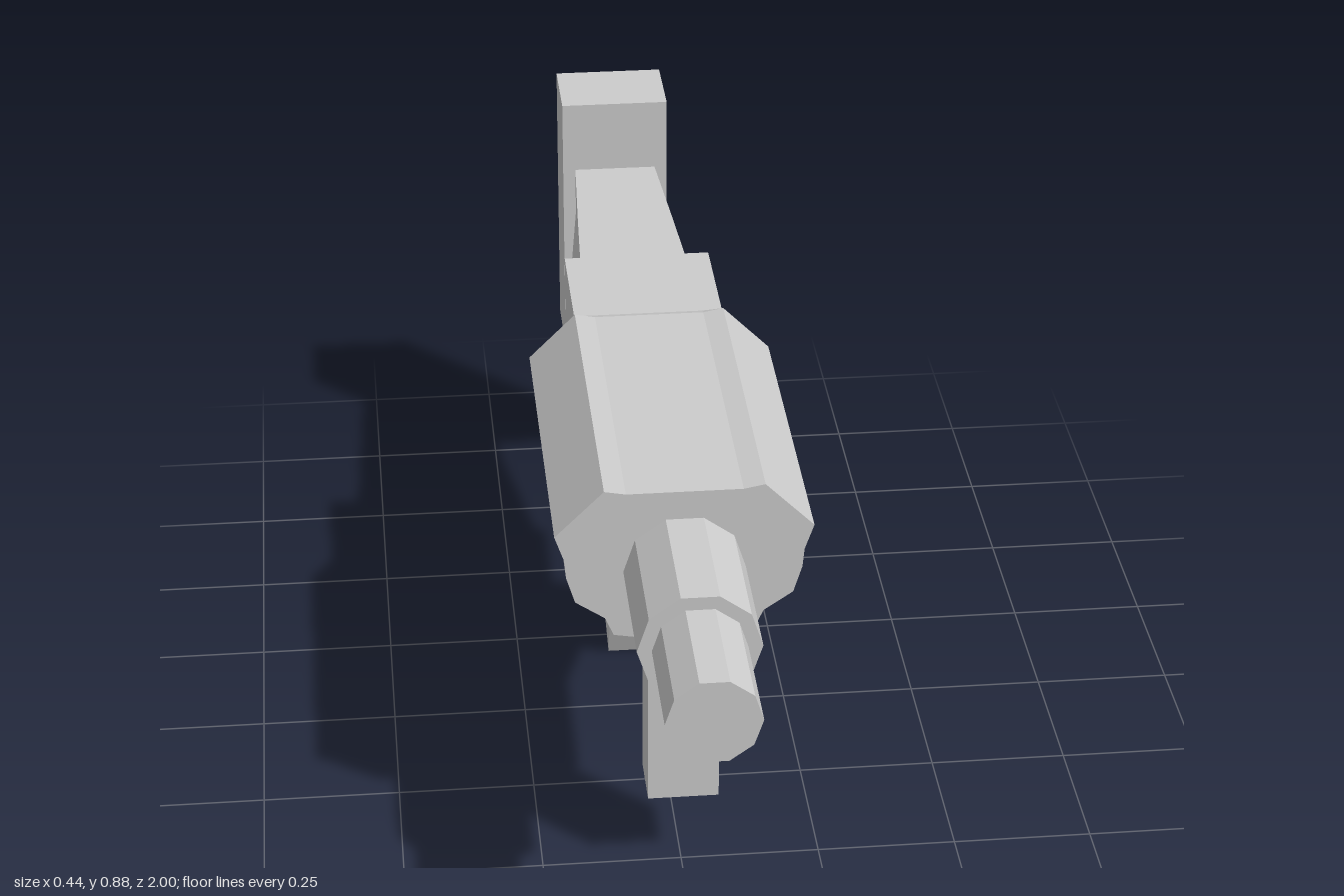
import * as THREE from 'three';

const material = new THREE.MeshStandardMaterial({ color: 0xcccccc, flatShading: true });

function add(group, name, geometry) {
  const mesh = new THREE.Mesh(geometry, material);
  mesh.name = name;
  group.add(mesh);
  return mesh;
}

// Box from its bounds: half width, y range, z range
function block(halfWidth, y0, y1, z0, z1) {
  return new THREE.BoxGeometry(2 * halfWidth, y1 - y0, z1 - z0)
    .translate(0, (y0 + y1) / 2, (z0 + z1) / 2);
}

// Side outline of [z, y] points, extruded across x
function sidePlate(points, halfWidth) {
  const shape = new THREE.Shape(points.map(([z, y]) => new THREE.Vector2(-z, y)));
  return new THREE.ExtrudeGeometry(shape, { depth: 2 * halfWidth, bevelEnabled: false })
    .translate(0, 0, -halfWidth)
    .rotateY(Math.PI / 2);
}

// Symmetric loft: each section is { z, half }, half = [x, y] from bottom to top, sections front to back
function loft(sections) {
  const rings = sections.map(({ z, half }) =>
    [...half, ...half.map(([x, y]) => [-x, y]).reverse()].map(([x, y]) => new THREE.Vector3(x, y, z)));
  const n = rings[0].length;
  const pos = [];
  const tri = (...corners) => corners.forEach((p) => pos.push(p.x, p.y, p.z));
  for (let s = 0; s < rings.length - 1; s++) {
    for (let i = 0; i < n; i++) {
      const j = (i + 1) % n;
      const [a, b, c, d] = [rings[s][i], rings[s][j], rings[s + 1][j], rings[s + 1][i]];
      tri(a, d, c);
      tri(a, c, b);
    }
  }
  const cap = (ring, flip) => {
    const flat = ring.map((p) => new THREE.Vector2(p.x, p.y));
    for (const [a, b, c] of THREE.ShapeUtils.triangulateShape(flat, [])) {
      if (flip) tri(ring[a], ring[c], ring[b]);
      else tri(ring[a], ring[b], ring[c]);
    }
  };
  cap(rings[0], false);
  cap(rings[rings.length - 1], true);
  const geometry = new THREE.BufferGeometry();
  geometry.setAttribute('position', new THREE.Float32BufferAttribute(pos, 3));
  geometry.computeVertexNormals();
  return geometry;
}

export function createModel() {
  const model = new THREE.Group();
  model.name = 'launcher';

  // Receiver: winged front housing stepping down to a boxy rear
  const housing = [
    [0.065, 0.5], [0.122, 0.51], [0.137, 0.545], [0.188, 0.58], [0.203, 0.63],
    [0.206, 0.665], [0.222, 0.712], [0.137, 0.797], [0.1, 0.79],
  ];
  const rear = [
    [0.065, 0.5], [0.137, 0.5], [0.137, 0.55], [0.13, 0.56], [0.137, 0.6],
    [0.137, 0.66], [0.137, 0.72], [0.137, 0.783], [0.1, 0.783],
  ];
  add(model, 'receiver', loft([
    { z: 0.535, half: housing },
    { z: -0.105, half: housing },
    { z: -0.125, half: rear },
    { z: -0.36, half: rear },
  ]));

  // Two-stage ten-sided barrel
  for (const [name, radius, z0, z1] of [
    ['barrelSleeve', 0.105, 0.52, 0.785],
    ['muzzle', 0.08, 0.77, 1],
  ]) {
    const tube = new THREE.CylinderGeometry(radius, radius, z1 - z0, 10)
      .rotateY(Math.PI / 2).rotateX(Math.PI / 2)
      .translate(0, 0.637, (z0 + z1) / 2);
    add(model, name, tube);
  }

  // Stock tapering back to the butt
  add(model, 'stock', loft([
    { z: -0.355, half: [[0.12, 0.5], [0.126, 0.6], [0.106, 0.738]] },
    { z: -0.63, half: [[0.1, 0.558], [0.106, 0.62], [0.092, 0.738]] },
    { z: -0.845, half: [[0.08, 0.558], [0.08, 0.64], [0.08, 0.738]] },
  ]));
  add(model, 'buttPlate', block(0.105, 0.335, 0.88, -1, -0.84));

  // Front and rear grips
  add(model, 'foregrip', block(0.063, 0.16, 0.51, 0.43, 0.535));
  add(model, 'pistolGrip', sidePlate(
    [[0.014, 0.51], [-0.19, 0], [-0.355, 0.065], [-0.181, 0.51]], 0.073));

  // Trigger guard strip and the hooked trigger inside it
  const guard = sidePlate([
    [0.2, 0.505], [0.2, 0.4], [-0.07, 0.305], [-0.06, 0.335], [0.175, 0.412], [0.175, 0.505],
  ], 0.06);
  // Flare the guard where it meets the grip
  const p = guard.attributes.position;
  for (let i = 0; i < p.count; i++) if (p.getZ(i) < 0) p.setX(i, p.getX(i) * 1.2);
  guard.computeVertexNormals();
  add(model, 'triggerGuard', guard);
  add(model, 'trigger', sidePlate([
    [0.09, 0.505], [0.06, 0.465], [0.05, 0.42], [0.08, 0.385], [0.03, 0.408], [0.022, 0.505],
  ], 0.025));

  return model;
}
